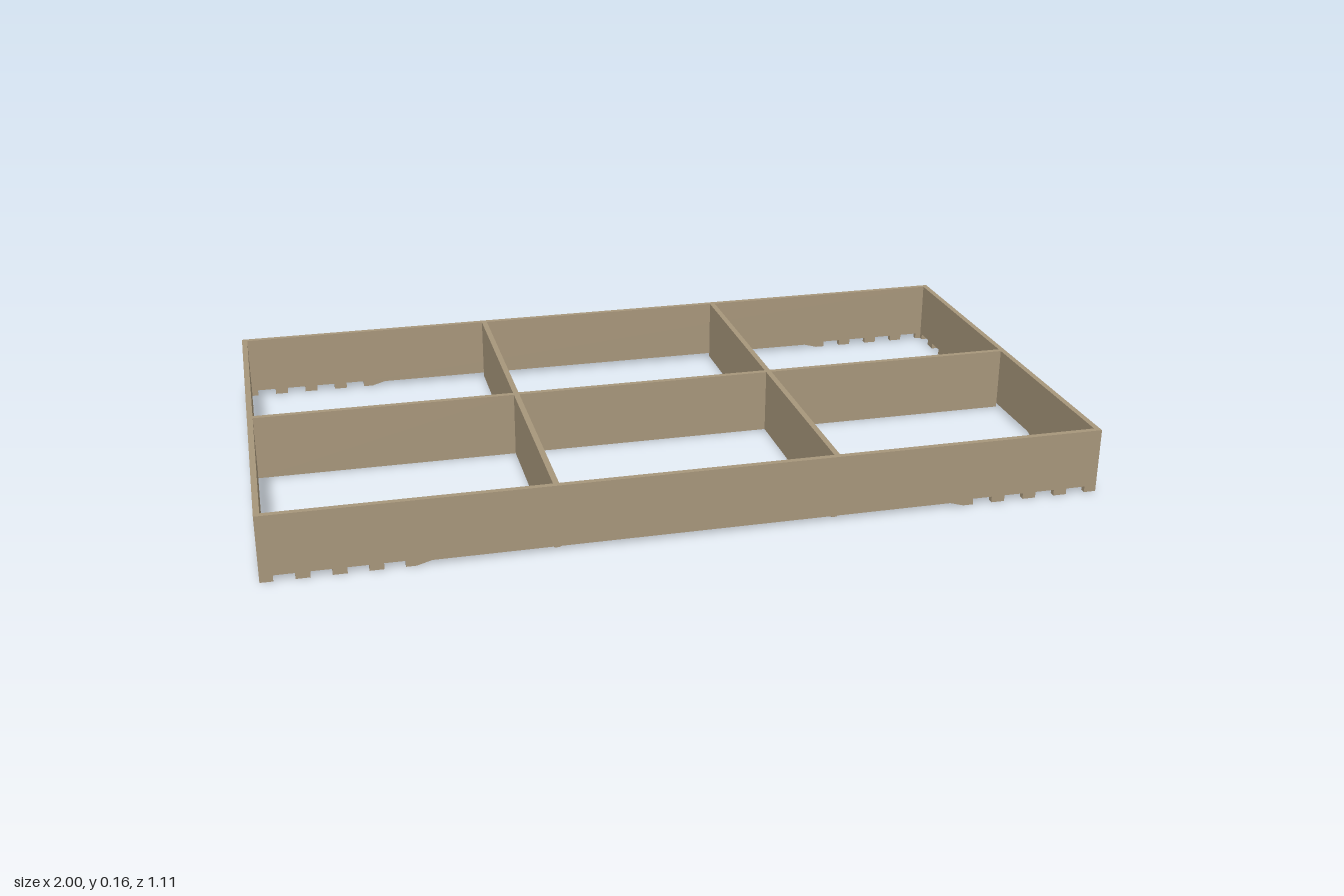
import * as THREE from 'three';

const HEIGHT = 0.162, THICK = 0.014, HALF_X = 1, HALF_Z = 0.556;

// Board lying along x, centred on z, with four notches near each end and a shallow arch between
function notchedBoard(half, firstNotch, archEnd) {
  const notch = 0.048, pitch = 0.081, depth = 0.015, arch = 0.01, slope = 0.035;
  const left = [];
  for (let i = 0; i < 4; i++) {
    const a = -firstNotch + i * pitch, b = a + notch;
    left.push([a, 0], [a, depth], [b, depth], [b, 0]);
  }
  left.push([-archEnd, 0], [-archEnd + slope, arch]);
  const right = left.map(([x, y]) => [-x, y]).reverse();
  const outline = [[-half, 0], ...left, ...right, [half, 0], [half, HEIGHT], [-half, HEIGHT]];
  const shape = new THREE.Shape(outline.map(([x, y]) => new THREE.Vector2(x, y)));
  return new THREE.ExtrudeGeometry(shape, { depth: THICK, bevelEnabled: false })
    .translate(0, 0, -THICK / 2);
}

export function createModel() {
  const group = new THREE.Group();
  const wood = new THREE.MeshStandardMaterial({ color: 0xa6957a });
  wood.name = 'wood';

  const add = (name, geometry, x, z, turn = 0) => {
    const mesh = new THREE.Mesh(geometry, wood);
    mesh.name = name;
    mesh.position.set(x, 0, z);
    mesh.rotation.y = turn;
    group.add(mesh);
  };

  // Outer frame
  const longBoard = notchedBoard(HALF_X, 0.97, 0.655);
  const shortBoard = notchedBoard(HALF_Z - THICK, 0.53, 0.236);
  const edgeX = HALF_X - THICK / 2, edgeZ = HALF_Z - THICK / 2;
  add('frontBoard', longBoard, 0, edgeZ);
  add('backBoard', longBoard, 0, -edgeZ);
  add('leftBoard', shortBoard, edgeX, 0, Math.PI / 2);
  add('rightBoard', shortBoard, -edgeX, 0, Math.PI / 2);

  // Inner dividers making six compartments
  const innerX = HALF_X - THICK, innerZ = HALF_Z - THICK, dividerX = 0.333;
  const crossDivider = new THREE.BoxGeometry(THICK, HEIGHT, 2 * innerZ).translate(0, HEIGHT / 2, 0);
  add('leftDivider', crossDivider, dividerX, 0);
  add('rightDivider', crossDivider, -dividerX, 0);

  // Long divider in three lengths between the cross dividers
  const stops = [-innerX, -dividerX - THICK / 2, -dividerX + THICK / 2,
    dividerX - THICK / 2, dividerX + THICK / 2, innerX];
  for (let i = 0; i < 6; i += 2) {
    const length = stops[i + 1] - stops[i];
    const piece = new THREE.BoxGeometry(length, HEIGHT, THICK).translate(0, HEIGHT / 2, 0);
    add('middleDivider', piece, (stops[i] + stops[i + 1]) / 2, 0);
  }
  return group;
}
